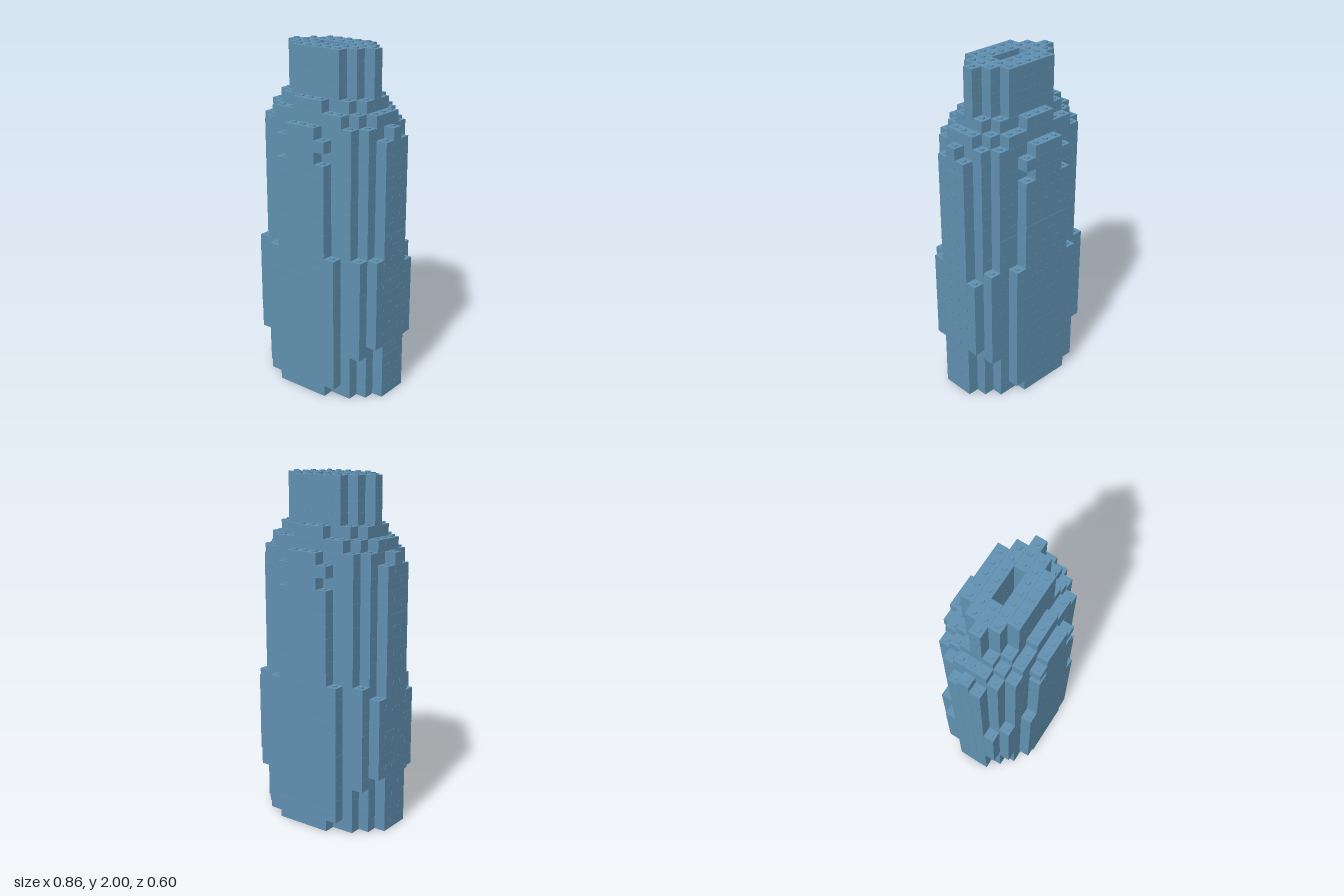
import * as THREE from 'three';
import { mergeGeometries } from 'three/addons/utils/BufferGeometryUtils.js';

const U = 0.0664;          // size of one brick cell
const GAP = 0.0006;        // hairline joint between bricks
const STUD_R = 0.0155, STUD_H = 0.008;
const LAYERS = 30;

// Half-width in cells of each row, from the middle row (0) out to row 4; -1 means no row
function footprint(layer) {
  if (layer < 13) {
    return [6, 6, layer < 5 ? 5 : 6, layer < 4 ? 4 : 5, layer < 1 ? 2 : 3];
  }
  if (layer < 23) return [6, 6, 5, 4, layer === 21 ? 1 : 2];
  if (layer === 23) return [6, 5, 5, 4, 1];
  if (layer === 24) return [5, 5, 4, 3, -1];
  if (layer === 25) return [4, 4, 3, 1, -1];
  return [4, 3, 2, -1, -1];
}

// Runs of cells [from, to] filled in one row of one layer
function runs(layer, row) {
  if (layer >= LAYERS) return [];
  const half = footprint(layer)[Math.abs(row)];
  if (half < 0) return [];
  // narrow shaft down the middle
  if (row === 0 && layer > 0) return [[-half, -2], [2, half]];
  // three of the four belt corners stop one layer early
  if (layer === 12 && row === -2) return [[-5, 5]];
  if (layer === 12 && row === 2) return [[-5, 6]];
  return [[-half, half]];
}

const filled = (layer, row, col) =>
  runs(layer, row).some(([a, b]) => col >= a && col <= b);

export function createModel() {
  const model = new THREE.Group();
  model.name = 'brickTower';
  const blue = new THREE.MeshStandardMaterial({ color: 0x6090b0 });
  blue.name = 'dusty blue';

  for (let layer = 0; layer < LAYERS; layer++) {
    const bricks = [], studs = [];
    for (let row = -4; row <= 4; row++) {
      for (const [a, b] of runs(layer, row)) {
        // one long brick per run
        const brick = new THREE.BoxGeometry((b - a + 1) * U - GAP, U - GAP, U - GAP);
        brick.translate(((a + b) / 2) * U, (layer + 0.5) * U, row * U);
        bricks.push(brick);
        // studs on the cells left uncovered
        for (let col = a; col <= b; col++) {
          if (filled(layer + 1, row, col)) continue;
          const stud = new THREE.CylinderGeometry(STUD_R, STUD_R, STUD_H, 16);
          stud.translate(col * U, (layer + 1) * U + STUD_H / 2 - GAP / 2, row * U);
          studs.push(stud);
        }
      }
    }
    const course = new THREE.Mesh(mergeGeometries(bricks), blue);
    course.name = `brickCourse${layer + 1}`;
    model.add(course);
    if (studs.length) {
      const mesh = new THREE.Mesh(mergeGeometries(studs), blue);
      mesh.name = `studs${layer + 1}`;
      model.add(mesh);
    }
  }
  return model;
}
